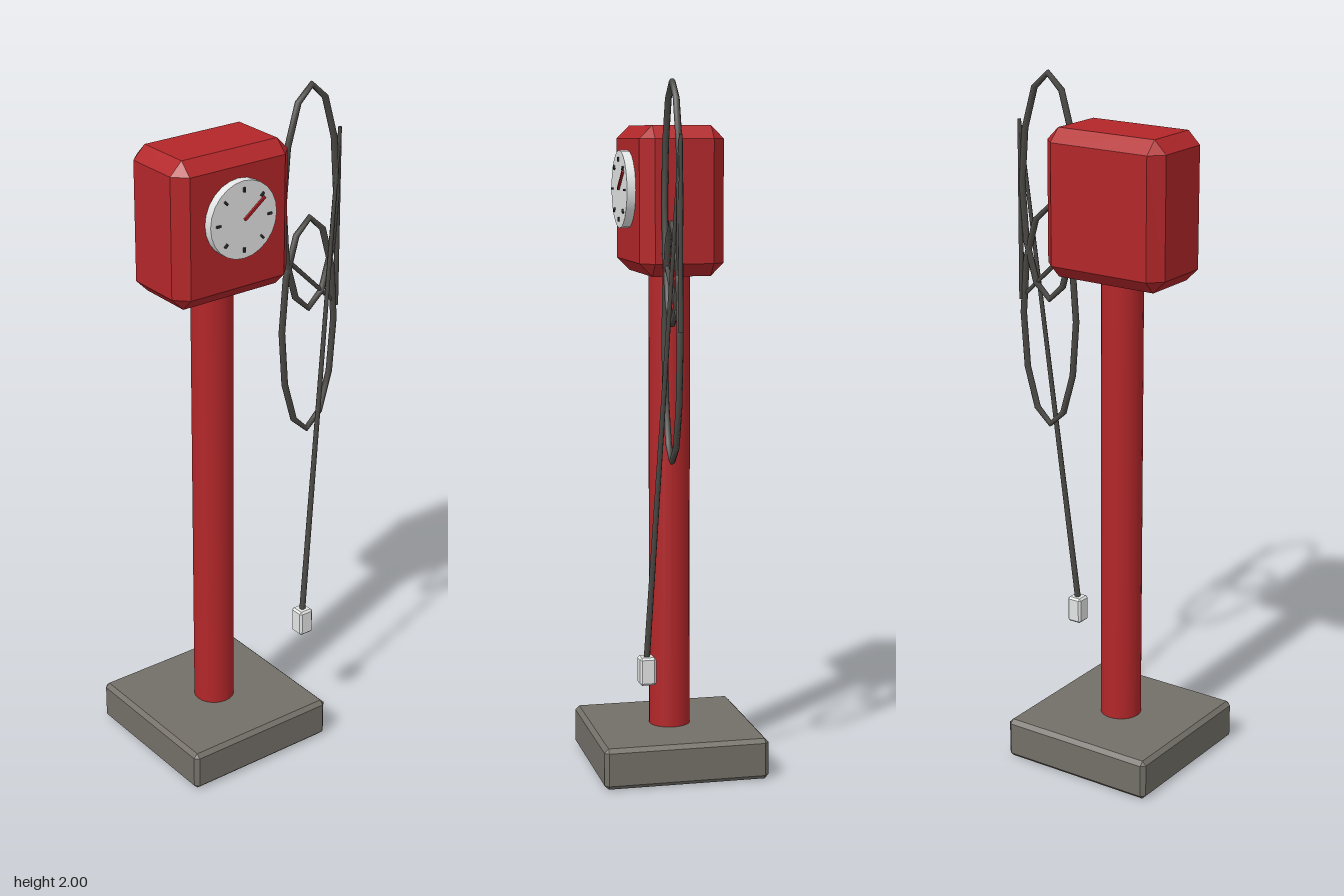
import * as THREE from 'three';
import { ConvexGeometry } from 'three/addons/geometries/ConvexGeometry.js';

const paint = (name, color) => {
  const m = new THREE.MeshStandardMaterial({ color });
  m.name = name;
  return m;
};

// Box with flat chamfers on every edge
function chamferBox(w, h, d, c) {
  const pts = [];
  for (const x of [-1, 1]) for (const y of [-1, 1]) for (const z of [-1, 1]) {
    const p = [x * w / 2, y * h / 2, z * d / 2];
    const q = [x * (w / 2 - c), y * (h / 2 - c), z * (d / 2 - c)];
    for (let k = 0; k < 3; k++) {
      const v = q.slice();
      v[k] = p[k];
      pts.push(new THREE.Vector3(...v));
    }
  }
  return new ConvexGeometry(pts);
}

// Closed upright ellipse for a coil of hose, stepped evenly by angle
class CoilCurve extends THREE.Curve {
  constructor(center, rx, ry) {
    super();
    Object.assign(this, { center, rx, ry });
  }
  getPoint(t, target = new THREE.Vector3()) {
    const a = t * Math.PI * 2 + Math.PI / 2;
    return target.set(Math.cos(a) * this.rx, Math.sin(a) * this.ry, 0).add(this.center);
  }
  getUtoTmapping(u) {
    return u;
  }
}

export function createModel() {
  const group = new THREE.Group();
  group.name = 'airPump';
  const red = paint('red paint', 0xb22629);
  const concrete = paint('concrete grey', 0x736f68);
  const rubber = paint('black rubber', 0x4a4844);
  const light = paint('light grey', 0xe3e4e4);
  const ink = paint('dial black', 0x303030);
  const needleRed = paint('needle red', 0xb01c22);

  const add = (name, geo, mat, x = 0, y = 0, z = 0) => {
    const mesh = new THREE.Mesh(geo, mat);
    mesh.name = name;
    mesh.position.set(x, y, z);
    group.add(mesh);
    return mesh;
  };
  // Straight rod between two points
  const rod = (name, a, b, ra, rb) => {
    const from = new THREE.Vector3(...a), to = new THREE.Vector3(...b);
    const dir = to.clone().sub(from);
    const mesh = add(name, new THREE.CylinderGeometry(rb, ra, dir.length(), 8), rubber);
    mesh.position.copy(from).lerp(to, 0.5);
    mesh.quaternion.setFromUnitVectors(new THREE.Vector3(0, 1, 0), dir.normalize());
  };

  // Base, post and head
  const cx = -0.084;
  add('base', chamferBox(0.484, 0.12, 0.484, 0.012), concrete, cx, 0.06, 0);
  add('post', new THREE.CylinderGeometry(0.06, 0.06, 1.36, 24), red, cx, 0.79, 0);
  add('head', chamferBox(0.388, 0.42, 0.242, 0.037), red, cx, 1.664, 0);

  // Gauge on the front of the head
  const gy = 1.694;
  add('gauge', new THREE.CylinderGeometry(0.11, 0.11, 0.03, 24).rotateX(Math.PI / 2), light, cx, gy, 0.131);
  for (let i = 0; i < 8; i++) {
    const a = i * Math.PI / 4;
    const tick = add('gaugeTick', new THREE.BoxGeometry(0.013, 0.006, 0.006), ink,
      cx + Math.cos(a) * 0.085, gy + Math.sin(a) * 0.085, 0.148);
    tick.rotation.z = a;
  }
  const needle = add('gaugeNeedle', new THREE.BoxGeometry(0.084, 0.007, 0.007), needleRed,
    cx + 0.034, gy + 0.026, 0.149);
  needle.rotation.z = Math.atan2(0.052, 0.068);

  // Coiled hose hanging beside the head
  const hz = 0.059;
  for (const y of [1.662, 1.28]) {
    const curve = new CoilCurve(new THREE.Vector3(0.211, y, hz), 0.094, 0.328);
    add('hoseCoil', new THREE.TubeGeometry(curve, 12, 0.0095, 6, true), rubber);
  }
  rod('hoseInlet', [0.1, 1.53, hz], [0.311, 1.325, hz], 0.007, 0.006);
  rod('hoseRise', [0.311, 1.32, hz], [0.313, 1.85, hz], 0.008, 0.005);
  rod('hoseDrop', [0.313, 1.85, hz], [0.158, 0.38, 0.121], 0.005, 0.009);

  // Nozzle at the end of the hose
  add('nozzle', chamferBox(0.047, 0.08, 0.047, 0.006), light, 0.158, 0.347, 0.121);

  return group;
}
